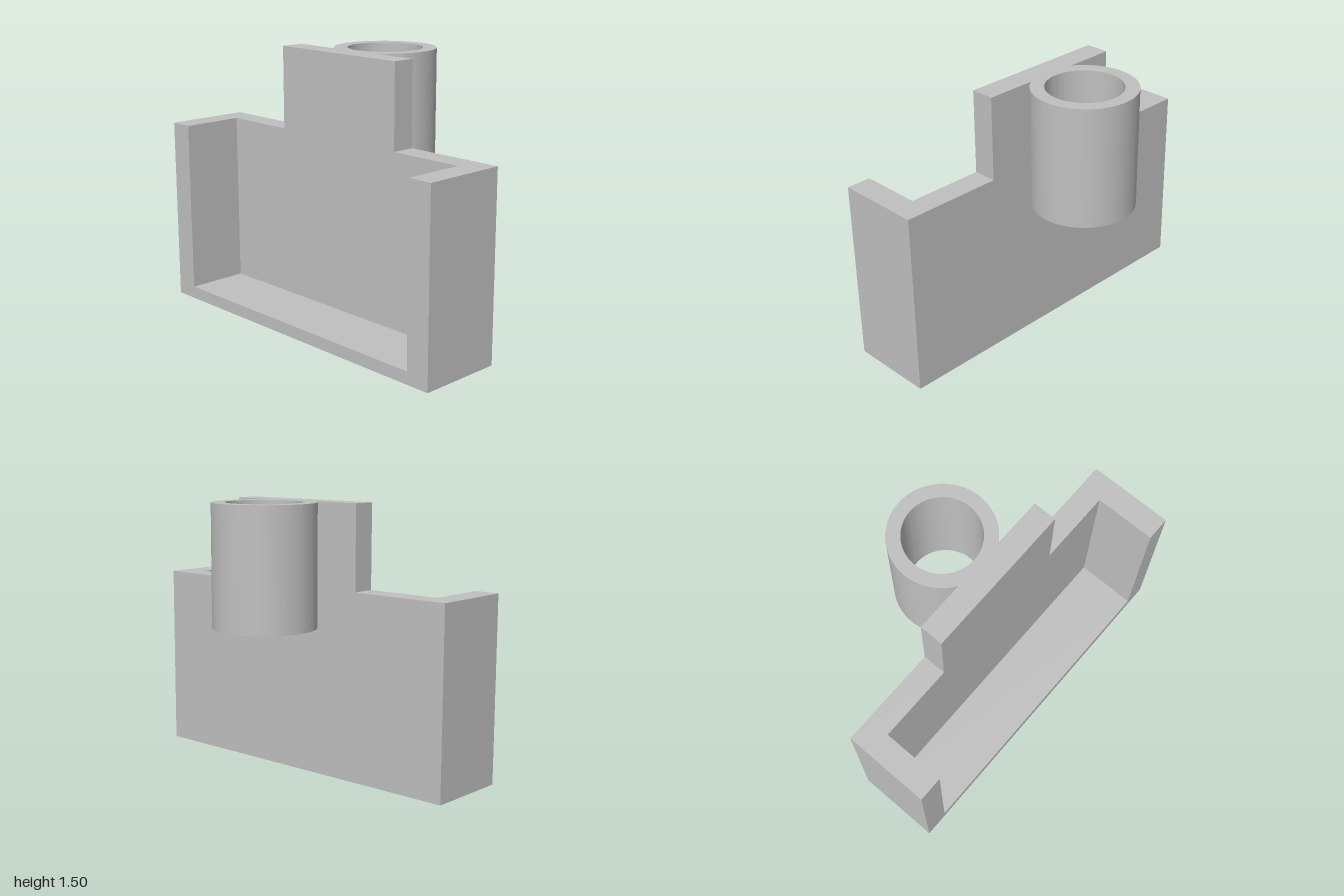
import * as THREE from 'three';
import { toCreasedNormals } from 'three/addons/utils/BufferGeometryUtils.js';

const grey = new THREE.MeshStandardMaterial({ color: 0xc0c0c0 });
grey.name = 'plain grey';

const outline = (points) => new THREE.Shape(points.map(([x, y]) => new THREE.Vector2(x, y)));

const extrude = (shape, depth) =>
  new THREE.ExtrudeGeometry(shape, { depth, bevelEnabled: false, curveSegments: 72 });

function part(name, geometry) {
  const mesh = new THREE.Mesh(geometry, grey);
  mesh.name = name;
  return mesh;
}

export function createModel() {
  const model = new THREE.Group();
  model.name = 'wallHolder';

  const wallTop = 1.035, top = 1.5, back = 0.02, inner = 0.152, front = 0.5;

  // Back plate with the raised tab in the middle
  const plate = outline([
    [-1, 0], [1, 0], [1, wallTop], [0.43, wallTop],
    [0.43, top], [-0.43, top], [-0.43, wallTop], [-1, wallTop],
  ]);
  model.add(part('backPlate', extrude(plate, inner - back).translate(0, 0, back)));

  // Floor and side walls as one U-shaped rim
  const rim = outline([
    [-1, 0], [1, 0], [1, wallTop], [0.863, wallTop],
    [0.863, 0.07], [-0.863, 0.07], [-0.863, wallTop], [-1, wallTop],
  ]);
  model.add(part('floorAndSideWalls', extrude(rim, front - inner).translate(0, 0, inner)));

  // Vertical tube, cut flat where it meets the back plate
  const outerR = 0.282, innerR = 0.207, centre = 0.218, bottom = 0.83;
  const start = -Math.asin((centre + back) / outerR);
  const ring = new THREE.Shape();
  ring.absarc(0, centre, outerR, start, Math.PI - start, false);
  const bore = new THREE.Path();
  bore.absarc(0, centre, innerR, 0, Math.PI * 2, true);
  ring.holes.push(bore);
  const tube = extrude(ring, top - bottom).rotateX(-Math.PI / 2).translate(0, bottom, 0);
  model.add(part('tubeSocket', toCreasedNormals(tube, 0.5)));

  return model;
}
